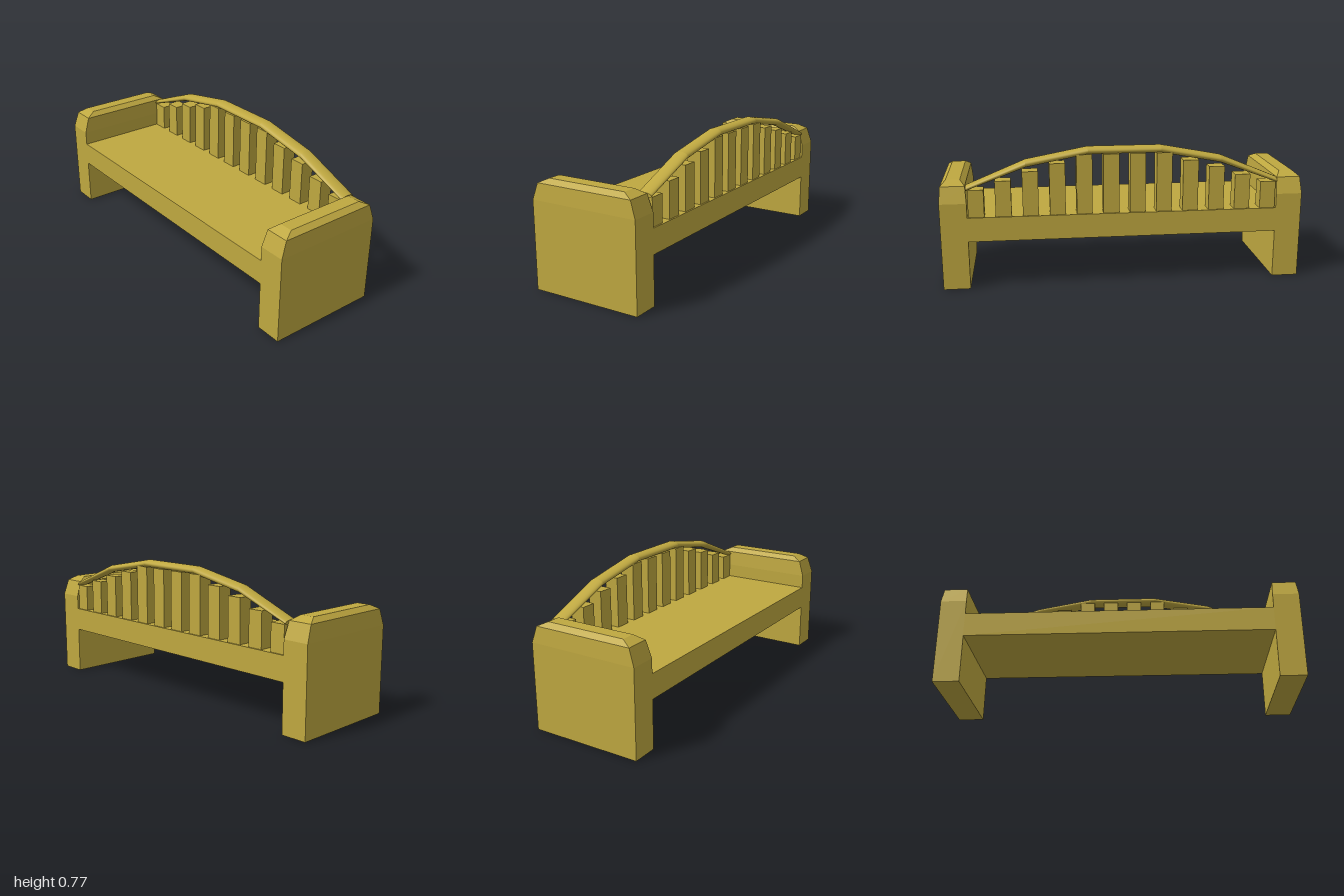
import * as THREE from 'three';

const material = new THREE.MeshStandardMaterial({ color: 0xbfa840 });
const flatMaterial = new THREE.MeshStandardMaterial({ color: 0xbfa840, flatShading: true });

// Joins equal-length rings of points into a closed solid with end caps.
function loft(rings) {
  const n = rings[0].length;
  const index = [];
  for (let r = 0; r < rings.length - 1; r++) {
    for (let i = 0; i < n; i++) {
      const a = r * n + i, b = r * n + (i + 1) % n;
      index.push(a, b, b + n, a, b + n, a + n);
    }
  }
  // Caps use their own copies of the end rings so their rims stay sharp.
  const points = [...rings, rings[0], rings[rings.length - 1]].flat(2);
  const first = rings.length * n, last = first + n;
  for (let i = 1; i < n - 1; i++) {
    index.push(first, first + i + 1, first + i);
    index.push(last, last + i, last + i + 1);
  }
  const geometry = new THREE.BufferGeometry();
  geometry.setAttribute('position', new THREE.Float32BufferAttribute(points, 3));
  geometry.setIndex(index);
  geometry.computeVertexNormals();
  return geometry;
}

function add(parent, name, geometry, mat, x = 0, y = 0, z = 0) {
  const mesh = new THREE.Mesh(geometry, mat);
  mesh.name = name;
  mesh.position.set(x, y, z);
  parent.add(mesh);
  return mesh;
}

export function createModel() {
  const bench = new THREE.Group();
  bench.name = 'bench';

  // Solid end panels with chamfered tops: [height, half width, half depth]
  const levels = [[0, 0.073, 0.316], [0.485, 0.073, 0.316], [0.575, 0.066, 0.286], [0.6, 0.038, 0.232]];
  const panel = loft(levels.map(([y, w, d]) => [[-w, y, d], [w, y, d], [w, y, -d], [-w, y, -d]]));
  add(bench, 'leftEndPanel', panel, flatMaterial, 0.927);
  add(bench, 'rightEndPanel', panel, flatMaterial, -0.927);

  // Thick seat slab between the panels
  add(bench, 'seat', new THREE.BoxGeometry(1.71, 0.135, 0.632), material, 0, 0.3375, 0);

  // Backrest slats, rising towards the middle
  const backZ = -0.267;
  const slats = new THREE.Group();
  slats.name = 'backSlats';
  bench.add(slats);
  [0.735, 0.735, 0.69, 0.65, 0.602, 0.556].forEach((top, i) => {
    const height = top - 0.4;
    const slat = new THREE.BoxGeometry(0.086, height, 0.08);
    for (const side of [-1, 1]) {
      add(slats, 'backSlat', slat, material, side * (0.073 + i * 0.1465), 0.4 + height / 2, backZ);
    }
  });

  // Arched top rail of straight, flattened round lengths: [x, height, half thickness]
  const rail = new THREE.Group();
  rail.name = 'topRail';
  bench.add(rail);
  const half = [[0.2, 0.752, 0.021], [0.535, 0.689, 0.021], [0.857, 0.562, 0.014]];
  const path = [...half.map(([x, y, h]) => [-x, y, h]).reverse(), ...half];
  const sides = 24;
  const ring = ([x, y, h]) => Array.from({ length: sides }, (_, i) => {
    const a = i / sides * Math.PI * 2;
    return [x, y + h * Math.cos(a), backZ + 0.042 * Math.sin(a)];
  }).reverse();
  for (let i = 0; i < path.length - 1; i++) {
    // Ring order is chosen so the walls face outward
    add(rail, 'railLength', loft([ring(path[i + 1]), ring(path[i])]), material);
  }

  return bench;
}
